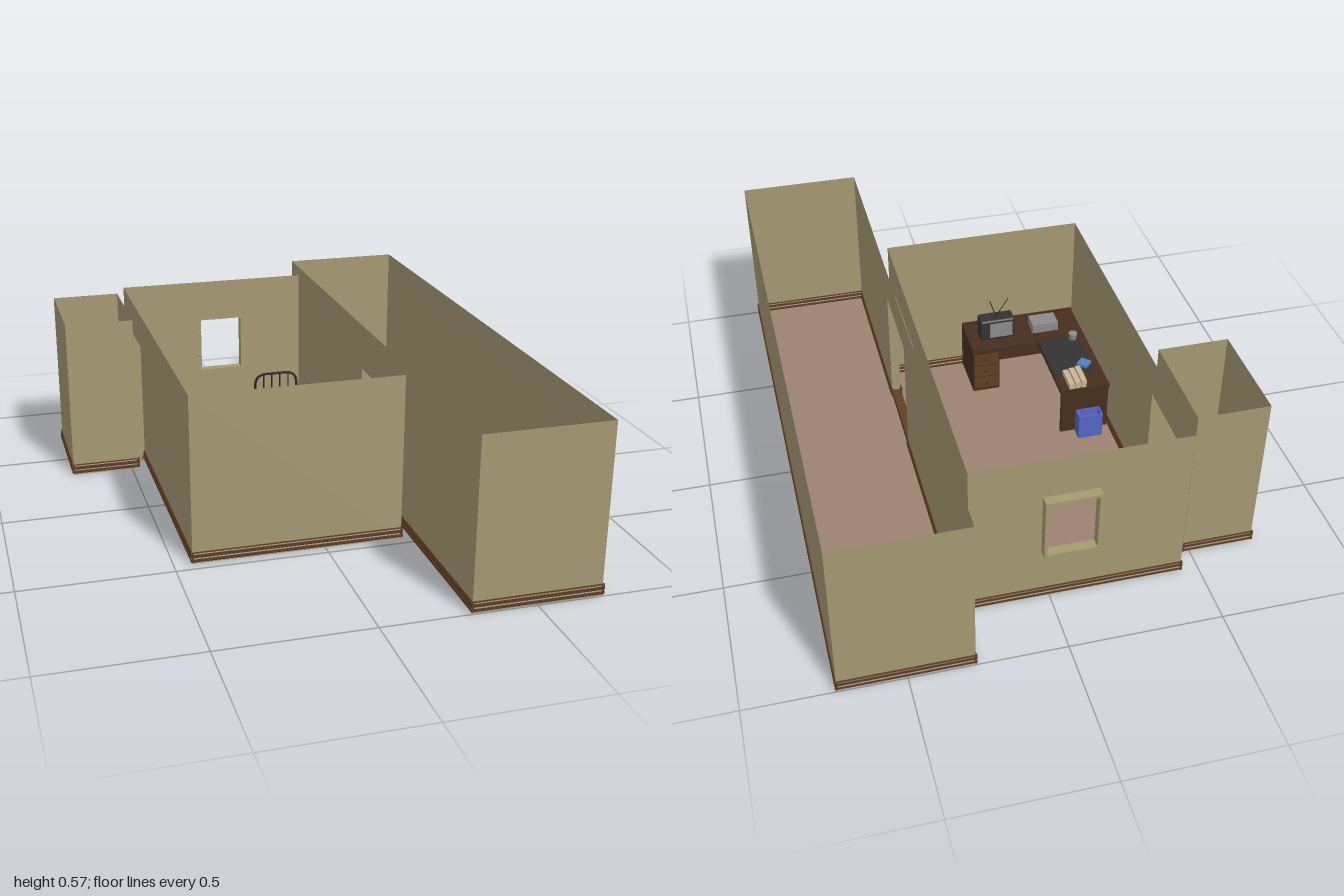
import * as THREE from 'three';
import { RoundedBoxGeometry } from 'three/addons/geometries/RoundedBoxGeometry.js';

const mat = (color, side = THREE.FrontSide) => new THREE.MeshStandardMaterial({ color, side });
const WALL = mat(0xa59872, THREE.DoubleSide), FLOOR = mat(0x9d8170, THREE.DoubleSide);
const TRIM = mat(0x5f3f23), WOOD = mat(0x472e1e), DARK = mat(0x333333), METAL = mat(0x2c2622);
const FRAME = mat(0xa59b70), SHEET = mat(0xc6ca92), BLANKET = mat(0xa67f78), PILLOW = mat(0xd6bd68);
const BLUE = mat(0x5566c4), BOOK = mat(0x4d82c0), PAPER = mat(0xc9b592), GREY = mat(0x8b8b8b);
const H = 0.57, DOOR = 0.445, FLARE = 0.005;

function add(parent, name, geometry, material, x = 0, y = 0, z = 0) {
  const m = new THREE.Mesh(geometry, material);
  m.name = name;
  m.position.set(x, y, z);
  parent.add(m);
  return m;
}

// box given by its limits on each axis
function block(parent, name, material, [x0, x1], [y0, y1], [z0, z1]) {
  return add(parent, name, new THREE.BoxGeometry(x1 - x0, y1 - y0, z1 - z0), material,
    (x0 + x1) / 2, (y0 + y1) / 2, (z0 + z1) / 2);
}

function rod(parent, name, material, points, radius) {
  const curve = new THREE.CatmullRomCurve3(points.map(p => new THREE.Vector3(...p)), false, 'catmullrom', 0.1);
  return add(parent, name, new THREE.TubeGeometry(curve, 32, radius, 6), material);
}

// ridged skirting running along both faces of a wall
function skirting(parent, x0, z0, x1, z1) {
  const half = [[0.002, 0.005], [FLARE, 0.008], [FLARE, 0.017], [0.002, 0.02], [FLARE, 0.023],
    [FLARE, 0.033], [0.003, 0.036], [0.003, 0.04]];
  const pts = [...half, ...half.map(([a, b]) => [-a, b]).reverse()];
  const shape = new THREE.Shape(pts.map(p => new THREE.Vector2(...p)));
  const len = Math.hypot(x1 - x0, z1 - z0);
  const geo = new THREE.ExtrudeGeometry(shape, { depth: len + 2 * FLARE, bevelEnabled: false });
  geo.translate(0, 0, -FLARE);
  add(parent, 'skirting', geo, TRIM, x0, 0, z0).rotation.y = Math.atan2(x1 - x0, z1 - z0);
}

// thin wall between two floor points; door and window are [start, end] along it
function wall(parent, x0, z0, x1, z1, door, win) {
  const len = Math.hypot(x1 - x0, z1 - z0);
  const s = new THREE.Shape();
  s.moveTo(0, 0);
  if (door) s.lineTo(door[0], 0).lineTo(door[0], DOOR).lineTo(door[1], DOOR).lineTo(door[1], 0);
  s.lineTo(len, 0).lineTo(len, H).lineTo(0, H).closePath();
  if (win) {
    const [a, b, c, d] = win;
    s.holes.push(new THREE.Path([[a, c], [a, d], [b, d], [b, c]].map(p => new THREE.Vector2(...p))));
  }
  add(parent, 'wall', new THREE.ShapeGeometry(s), WALL, x0, 0, z0).rotation.y = Math.atan2(z0 - z1, x1 - x0);
  const at = t => [x0 + (x1 - x0) * t / len, z0 + (z1 - z0) * t / len];
  for (const [a, b] of door ? [[0, door[0]], [door[1], len]] : [[0, len]]) {
    skirting(parent, ...at(a), ...at(b));
  }
}

function room(parent, name, x0, x1, z0, z1, { left, right, back } = {}) {
  const g = new THREE.Group();
  g.name = name;
  parent.add(g);
  const rel = d => d && [d[0] - z0, d[1] - z0];
  wall(g, x0, z0, x0, z1, rel(right));
  wall(g, x1, z0, x1, z1, rel(left));
  wall(g, x0, z0, x1, z0, null, back && [back[0] - x0, back[1] - x0, back[2], back[3]]);
  wall(g, x0, z1, x1, z1);
  floor(g, x0, x1, z0, z1);
  return g;
}

function floor(parent, x0, x1, z0, z1) {
  const geo = new THREE.PlaneGeometry(x1 - x0, z1 - z0).rotateX(-Math.PI / 2);
  add(parent, 'floor', geo, FLOOR, (x0 + x1) / 2, 0.001, (z0 + z1) / 2);
}

// open-topped passage joining two rooms
function doorway(parent, x0, x1, [z0, z1]) {
  const g = new THREE.Group();
  g.name = 'doorway';
  parent.add(g);
  for (const z of [z0, z1]) {
    add(g, 'doorJamb', new THREE.PlaneGeometry(x1 - x0, DOOR), WALL, (x0 + x1) / 2, DOOR / 2, z);
  }
  floor(g, x0, x1, z0, z1);
  block(g, 'threshold', TRIM, [x0, x1], [0.004, 0.03], [z0, z1]);
}

function bed() {
  const g = new THREE.Group();
  g.name = 'bed';
  block(g, 'mattress', SHEET, [0.068, 0.242], [0.04, 0.09], [-0.738, -0.362]);
  add(g, 'blanket', new RoundedBoxGeometry(0.192, 0.062, 0.235, 2, 0.008), BLANKET, 0.155, 0.068, -0.503);
  add(g, 'pillow', new RoundedBoxGeometry(0.115, 0.03, 0.08, 4, 0.014), PILLOW, 0.156, 0.103, -0.7);
  for (const [name, z, top] of [['headboard', -0.742, 0.18], ['footboard', -0.36, 0.135]]) {
    rod(g, name, METAL, [[0.07, 0, z], [0.07, top - 0.03, z], [0.085, top - 0.006, z], [0.11, top, z],
      [0.2, top, z], [0.225, top - 0.006, z], [0.24, top - 0.03, z], [0.24, 0, z]], 0.005);
    for (let i = 1; i < 5; i++) {
      const x = 0.07 + i * 0.034;
      rod(g, name + 'Bar', METAL, [[x, 0.04, z], [x, top, z]], 0.003);
    }
  }
  for (const x of [0.07, 0.24]) block(g, 'bedRail', METAL, [x - 0.004, x + 0.004], [0.032, 0.042], [-0.742, -0.36]);
  return g;
}

function desk() {
  const g = new THREE.Group();
  g.name = 'cornerDesk';
  const top = 0.19;
  block(g, 'longDeskTop', WOOD, [-0.437, -0.256], [top - 0.015, top], [-0.025, 0.462]);
  block(g, 'shortDeskTop', WOOD, [-0.254, -0.008], [top - 0.015, top], [0.28, 0.462]);
  block(g, 'deskEnd', WOOD, [-0.434, -0.26], [0, top - 0.015], [-0.022, -0.01]);
  block(g, 'deskBack', WOOD, [-0.437, -0.008], [0, top + 0.005], [0.452, 0.462]);
  block(g, 'drawerUnit', WOOD, [-0.11, -0.01], [0, top - 0.015], [0.285, 0.455]);
  for (let i = 0; i < 3; i++) {
    block(g, 'drawerFront', TRIM, [-0.105, -0.015], [0.015 + i * 0.053, 0.06 + i * 0.053], [0.281, 0.286]);
    add(g, 'drawerKnob', new THREE.SphereGeometry(0.005, 8, 6), METAL, -0.06, 0.038 + i * 0.053, 0.278);
  }
  // things on the desk
  block(g, 'deskMat', DARK, [-0.405, -0.257], [top, top + 0.004], [0.07, 0.28]);
  block(g, 'greyCase', GREY, [-0.35, -0.252], [top, top + 0.035], [0.338, 0.405]);
  for (let i = 0; i < 3; i++) {
    block(g, 'paperStack', PAPER, [-0.352 + i * 0.022, -0.333 + i * 0.022], [top, top + 0.03 - i * 0.005], [-0.02, 0.07]);
  }
  block(g, 'book', BOOK, [-0.4, -0.36], [top, top + 0.014], [0.085, 0.125]).rotation.y = 0.8;
  add(g, 'cup', new THREE.CylinderGeometry(0.016, 0.013, 0.03, 16), GREY, -0.386, top + 0.015, 0.265);
  // television set with a pair of aerials
  const tv = new THREE.Group();
  tv.name = 'television';
  g.add(tv);
  add(tv, 'televisionCase', new RoundedBoxGeometry(0.13, 0.085, 0.06, 2, 0.008), DARK, -0.115, top + 0.046, 0.36);
  block(tv, 'televisionScreen', GREY, [-0.17, -0.085], [top + 0.016, top + 0.076], [0.327, 0.331]);
  for (const s of [-1, 1]) {
    rod(tv, 'aerial', METAL, [[-0.115, top + 0.088, 0.36], [-0.115 + s * 0.035, top + 0.19, 0.32]], 0.0015);
  }
  return g;
}

export function createModel() {
  const model = new THREE.Group();
  model.name = 'apartment';
  const mainDoor = [0.03, 0.33], sideDoor = [-0.64, -0.415], win = [-0.14, 0.02, 0.21, 0.415];

  // three roofless rooms and the passages between them
  room(model, 'corridor', 0.292, 0.714, -0.995, 0.995, { right: mainDoor });
  const main = room(model, 'mainRoom', -0.44, 0.26, -0.778, 0.463, { left: mainDoor, right: sideDoor, back: win });
  room(model, 'sideRoom', -0.714, -0.476, -0.703, -0.347, { left: sideDoor });
  doorway(model, 0.26, 0.292, mainDoor);
  doorway(model, -0.476, -0.44, sideDoor);

  // projecting window frame
  const [a, b, c, d] = win, t = 0.01;
  const rect = (x0, x1, y0, y1) => [[x0, y0], [x1, y0], [x1, y1], [x0, y1]].map(p => new THREE.Vector2(...p));
  const frame = new THREE.Shape(rect(a - t, b + t, c - t, d + t));
  frame.holes.push(new THREE.Path(rect(a, b, c, d)));
  add(main, 'windowFrame', new THREE.ExtrudeGeometry(frame, { depth: 0.034, bevelEnabled: false }), FRAME, 0, 0, -0.811);

  // furniture
  main.add(bed(), desk());
  const bin = new THREE.Group();
  bin.name = 'bin';
  main.add(bin);
  block(bin, 'binBase', BLUE, [-0.4, -0.312], [0.004, 0.012], [-0.076, -0.03]);
  for (const x of [-0.4, -0.318]) block(bin, 'binSide', BLUE, [x, x + 0.006], [0.004, 0.1], [-0.076, -0.03]);
  for (const z of [-0.076, -0.036]) block(bin, 'binSide', BLUE, [-0.4, -0.312], [0.004, 0.1], [z, z + 0.006]);
  return model;
}
